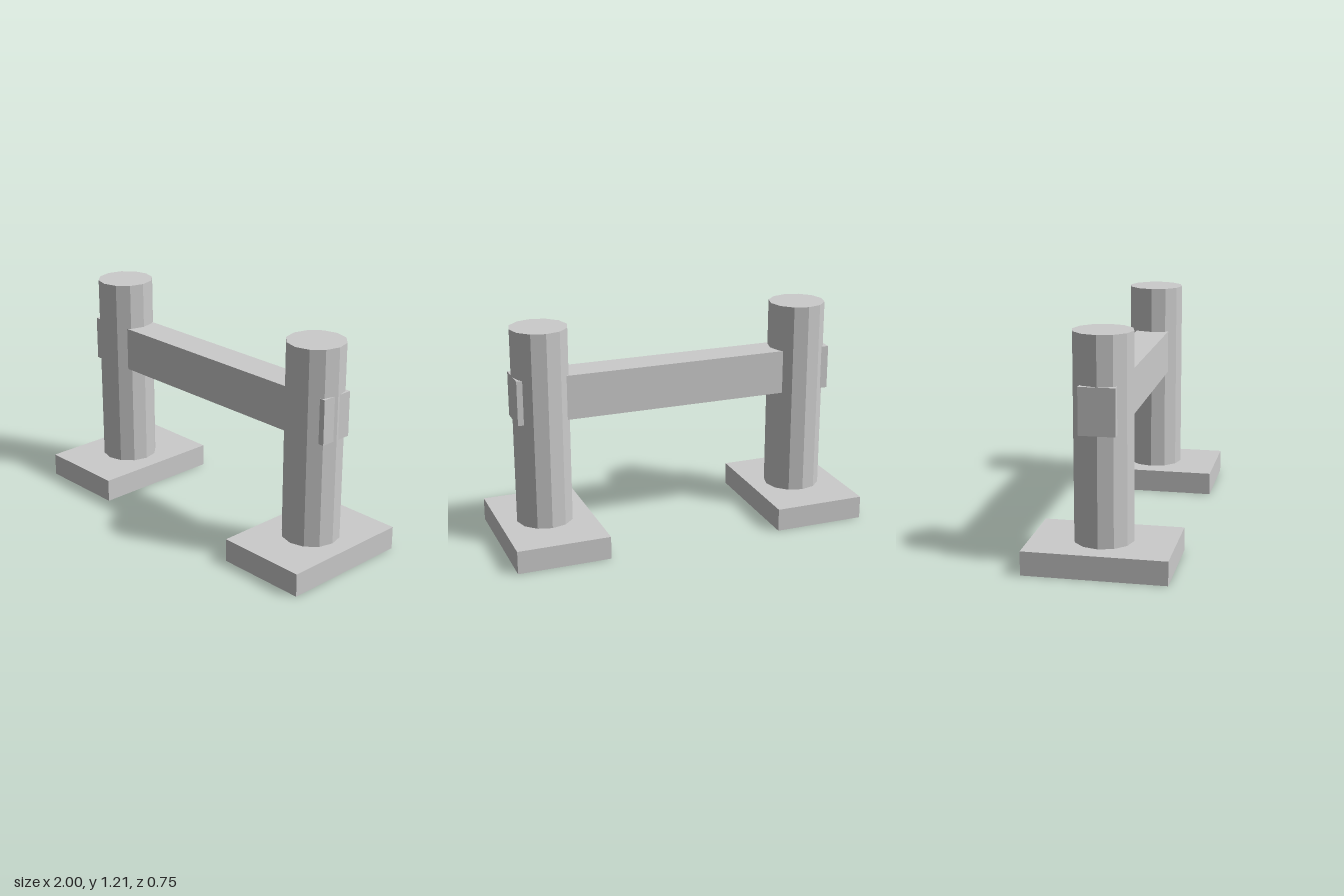
import * as THREE from 'three';

export function createModel() {
  const group = new THREE.Group();
  const material = new THREE.MeshStandardMaterial({ color: 0xcccccc, flatShading: true });

  const add = (name, geometry, x, y, z = 0) => {
    const mesh = new THREE.Mesh(geometry, material);
    mesh.name = name;
    mesh.position.set(x, y, z);
    group.add(mesh);
  };

  const baseHeight = 0.127;
  const postTop = 1.207;
  const baseGeometry = new THREE.BoxGeometry(0.51, baseHeight, 0.746);
  // Twelve-sided post
  const postGeometry = new THREE.CylinderGeometry(0.156, 0.156, postTop - baseHeight, 12);

  // Foot slab and post at each end
  for (const [side, sign, postX] of [['left', 1, 0.747], ['right', -1, -0.743]]) {
    add(`${side}Base`, baseGeometry, sign * 0.745, baseHeight / 2);
    add(`${side}Post`, postGeometry, postX, (baseHeight + postTop) / 2);
  }

  // Crossbeam runs through both posts, its end corners showing on the outside
  add('crossbeam', new THREE.BoxGeometry(1.802, 0.244, 0.188), -0.003, 0.83);

  return group;
}
